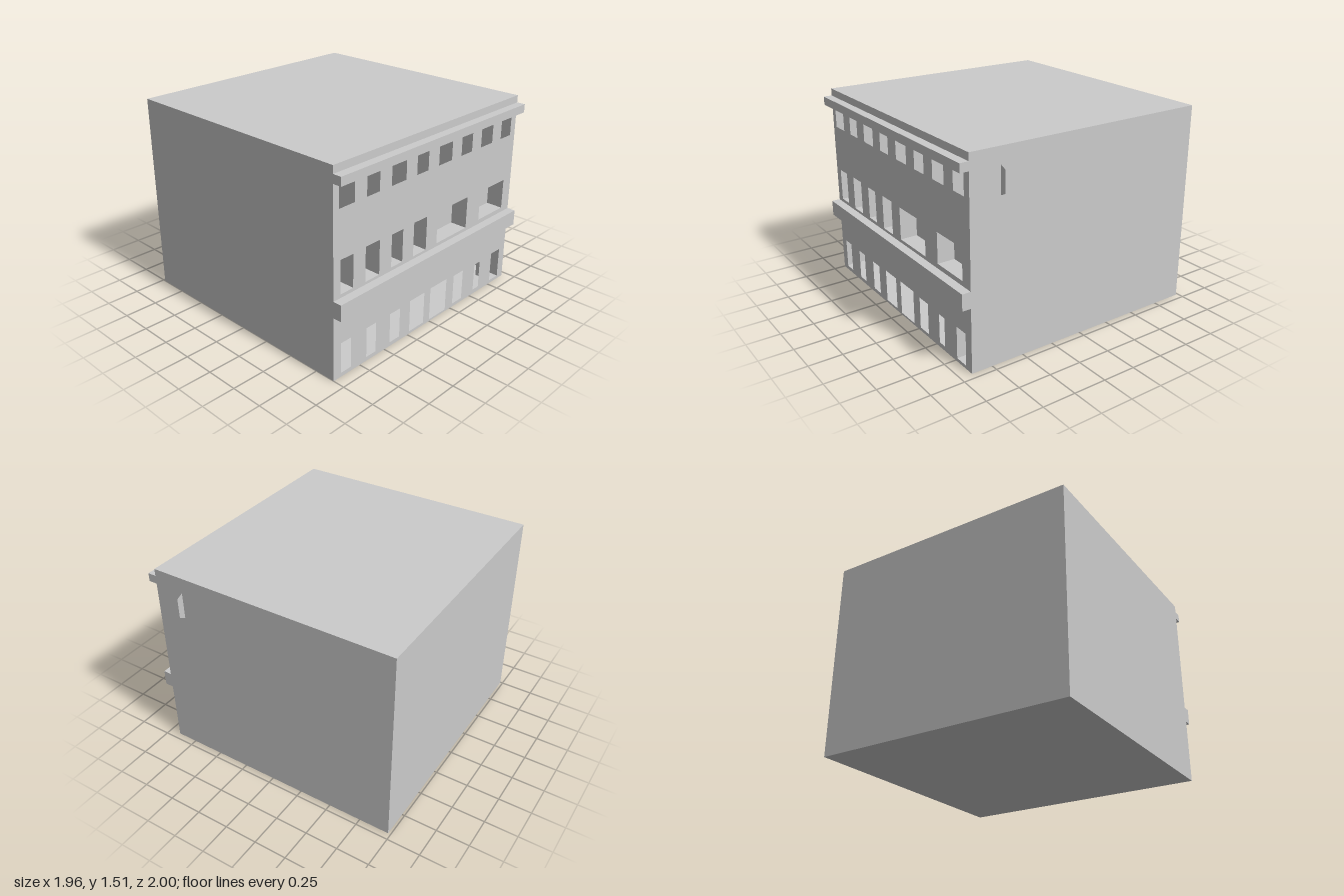
import * as THREE from 'three';

const X0 = -0.98, X1 = 0.91, Z0 = -0.95, Z1 = 1, H = 1.515;
const RECESS = 0.13;

// Openings as [zFront, zBack, yBottom, yTop]
const groundOpenings = [
  [0.93, 0.835, 0.03, 0.26], [0.685, 0.59, 0.03, 0.26], [0.445, 0.34, 0.03, 0.26],
  [0.23, 0.07, 0.02, 0.27], [0, -0.19, 0.015, 0.275], [-0.28, -0.395, 0.025, 0.265],
  [-0.545, -0.615, 0.035, 0.255],
];
const middleWindows = [
  [0.935, 0.82, 0.625, 0.87], [0.705, 0.57, 0.62, 0.875], [0.45, 0.335, 0.625, 0.87],
  [0.22, 0.08, 0.62, 0.875], [-0.04, -0.39, 0.625, 0.87], [-0.55, -0.855, 0.635, 0.865],
];
const topWindows = [
  [0.95, 0.81], [0.70, 0.58], [0.465, 0.32], [0.21, 0.09],
  [-0.025, -0.17], [-0.28, -0.405], [-0.515, -0.655], [-0.765, -0.89],
].map(([a, b]) => [a, b, 1.22, 1.375]);
const sideDoor = [-0.77, -0.88, 0.025, 0.265];

export function createModel() {
  const group = new THREE.Group();
  const material = new THREE.MeshStandardMaterial({
    color: 0xcccccc, flatShading: true, side: THREE.DoubleSide,
  });

  const add = (name, geometry) => {
    const mesh = new THREE.Mesh(geometry, material);
    mesh.name = name;
    group.add(mesh);
  };
  const box = (x0, x1, y0, y1, z0, z1) =>
    new THREE.BoxGeometry(x1 - x0, y1 - y0, z1 - z0)
      .translate((x0 + x1) / 2, (y0 + y1) / 2, (z0 + z1) / 2);
  // Box without its +x face
  const openBox = (...size) => {
    const g = box(...size);
    g.setIndex(Array.from(g.index.array).slice(6));
    g.clearGroups();
    return g;
  };
  // Flat outline in (z, y), standing at a given x and facing +x
  const outline = (points) => points.map(([z, y]) => new THREE.Vector2(-z, y));
  const sheet = (shape, x) =>
    new THREE.ShapeGeometry(shape).rotateY(Math.PI / 2).translate(x, 0, 0);

  // Hollow building: floor, roof and three plain walls
  add('buildingShell', openBox(X0, X1, 0, H, Z0, Z1));

  // Facade pierced by three rows of openings
  const facade = new THREE.Shape(outline([[Z1, 0], [Z0, 0], [Z0, H], [Z1, H]]));
  for (const [a, b, y0, y1] of [...groundOpenings, sideDoor, ...middleWindows, ...topWindows])
    facade.holes.push(new THREE.Path(outline([[a, y0], [a, y1], [b, y1], [b, y0]])));
  add('facade', sheet(facade, X1));

  // Closed recesses behind the middle windows and the rear ground door
  for (const [a, b, y0, y1] of [...middleWindows, sideDoor])
    add('windowRecess', openBox(X1 - RECESS, X1, y0, y1, b, a));

  // Ledge above the ground floor and cornice below the roof
  add('ledge', box(X1, 0.975, 0.48, 0.6, Z0, Z1));
  add('cornice', box(X1, 0.975, 1.397, 1.46, Z0, Z1));

  // Thin fin on the back wall
  const fin = new THREE.Shape(outline([[Z0, 1.195], [-1, 1.22], [-1, 1.375], [Z0, 1.397]]));
  add('rearFin', sheet(fin, 0.68));

  return group;
}
